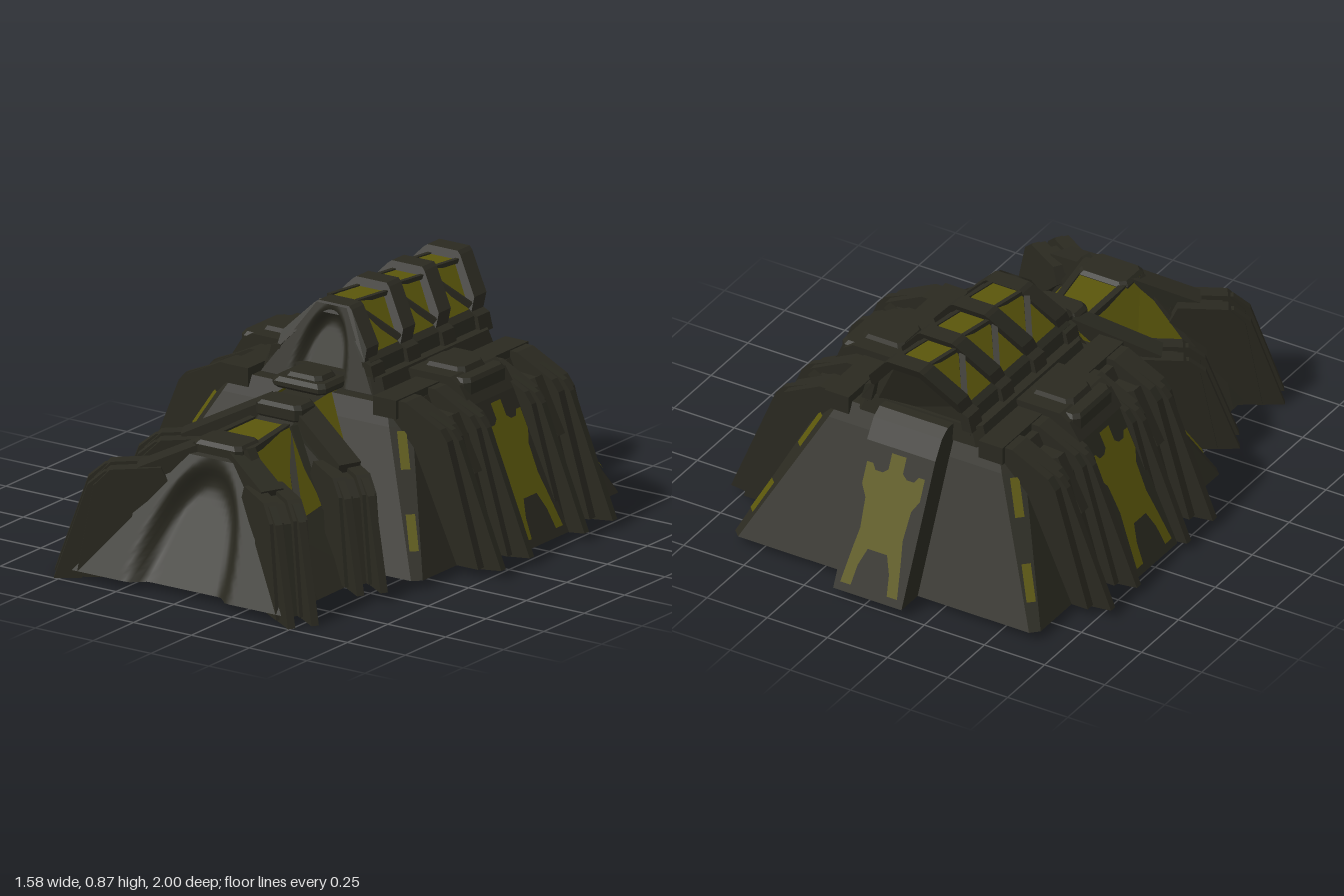
import * as THREE from 'three';

const V = (x, y, z) => new THREE.Vector3(x, y, z);
const hull = new THREE.MeshStandardMaterial({ color: 0x2a2920, side: THREE.DoubleSide });
hull.name = 'dark olive hull';
const paint = new THREE.MeshStandardMaterial({ color: 0x5a560b, side: THREE.DoubleSide });
paint.name = 'dull yellow paint';

function add(parent, name, geometry, material = hull) {
  const m = new THREE.Mesh(geometry, material);
  m.name = name;
  parent.add(m);
  return m;
}

// Faceted skin over cross-sections with equal point counts
function loft(rings, { closed = true, cap = false } = {}) {
  const p = [];
  const tri = (...t) => t.forEach((v) => p.push(v.x, v.y, v.z));
  const n = rings[0].length;
  for (let i = 0; i + 1 < rings.length; i++) {
    for (let j = 0; j < (closed ? n : n - 1); j++) {
      const k = (j + 1) % n;
      const [a, b, c, d] = [rings[i][j], rings[i][k], rings[i + 1][k], rings[i + 1][j]];
      tri(a, b, c);
      tri(a, c, d);
    }
  }
  if (cap) {
    const last = rings[rings.length - 1];
    for (let j = 1; j + 1 < n; j++) tri(last[0], last[j], last[j + 1]);
  }
  const g = new THREE.BufferGeometry();
  g.setAttribute('position', new THREE.Float32BufferAttribute(p, 3));
  g.computeVertexNormals();
  return g;
}

// Chamfered rectangle, counter-clockwise seen from above
function ring(hx, hz, c, y, cx = 0, cz = 0) {
  return [[hx, hz - c], [hx, c - hz], [hx - c, -hz], [c - hx, -hz], [-hx, c - hz], [-hx, hz - c], [c - hx, hz], [hx - c, hz]]
    .map(([x, z]) => V(cx + x, y, cz + z));
}

const outline = (pts) => new THREE.Shape(pts.map(([x, y]) => new THREE.Vector2(x, y)));
const mirrored = (pts) => [...pts, ...[...pts].reverse().map(([x, y]) => [-x, y])];

// Flat profile in x/y given thickness along z between z0 and z1
function slab(pts, z0, z1) {
  return new THREE.ExtrudeGeometry(outline(pts), { depth: z1 - z0, bevelEnabled: false }).translate(0, 0, z0);
}

// Rectangular bar from a to b
function beam(parent, name, a, b, w, h) {
  const m = add(parent, name, new THREE.BoxGeometry(w, h, a.distanceTo(b)));
  m.position.copy(a).lerp(b, 0.5);
  m.lookAt(b);
}

// Painted quad lifted slightly along a given direction
function plate(parent, name, corners, lift) {
  const q = corners.map((v) => v.clone().add(lift));
  add(parent, name, loft([[q[0], q[1]], [q[3], q[2]]], { closed: false }), paint);
}

// Tapered sloping face with a smooth arched hollow; [bottom, top] pairs
function hollow(parent, name, [w0, w1], [y0, y1], [z0, z1], archWidth, depth) {
  const geo = new THREE.PlaneGeometry(2, 1, 40, 20);
  const p = geo.attributes.position;
  for (let i = 0; i < p.count; i++) {
    const t = p.getY(i) + 0.5;
    const x = p.getX(i) * (w0 + (w1 - w0) * t);
    const arch = (x / archWidth) ** 2 + (t / 0.93) ** 2;
    const dip = depth * (1 + t) * (1 - THREE.MathUtils.smoothstep(arch, 0.55, 1.15));
    p.setXYZ(i, x, y0 + (y1 - y0) * t, z0 + (z1 - z0) * t - dip);
  }
  geo.computeVertexNormals();
  add(parent, name, geo);
}

const CZ = -0.255;

// Sloping ramp with its painted emblem, facing +z from the hall centre
function ramp(parent, name, angle) {
  const g = new THREE.Group();
  g.name = name;
  const side = [[0.745, 0.03], [0.515, 0.53], [0.47, 0.6], [0.43, 0.625], [0.25, 0.625], [0.25, 0.5], [0.4, 0.5], [0.62, 0.03]];
  add(g, 'rampBlock', slab(side, -0.142, 0.142).rotateY(-Math.PI / 2));
  const half = [[0.03, 0.515], [0.03, 0.46], [0.05, 0.445], [0.08, 0.445], [0.095, 0.465], [0.12, 0.465], [0.12, 0.39],
    [0.095, 0.35], [0.088, 0.25], [0.1, 0.18], [0.118, 0.06], [0.075, 0.06], [0.065, 0.13], [0.04, 0.19]];
  const emblem = new THREE.ShapeGeometry(outline(mirrored(half)));
  const pos = emblem.attributes.position;
  for (let i = 0; i < pos.count; i++) pos.setZ(i, 0.75 - 0.46 * (pos.getY(i) - 0.03));
  emblem.computeVertexNormals();
  add(g, 'rampEmblem', emblem, paint);
  g.position.z = CZ;
  g.rotation.y = angle;
  parent.add(g);
}

// Thick buttress with a thinner tooth along its outer edge
function buttress(parent, body, tooth, z, thick) {
  add(parent, 'buttressSlab', slab(body, z - thick / 2, z + thick / 2));
  add(parent, 'buttressTooth', slab(tooth, z - 0.014, z + 0.014));
}

function mainHall(g) {
  add(g, 'hallWalls', loft([ring(0.635, 0.635, 0.03, 0.03, 0, CZ), ring(0.42, 0.42, 0.06, 0.5, 0, CZ),
    ring(0.385, 0.385, 0.06, 0.57, 0, CZ), ring(0.2, 0.31, 0.03, 0.57, 0, CZ)]));
  add(g, 'roofDeck', loft([ring(0.27, 0.37, 0.03, 0.56, 0, -0.285), ring(0.245, 0.36, 0.03, 0.632, 0, -0.285),
    ring(0.2, 0.33, 0.03, 0.632, 0, -0.285)]));
  ['backRamp', 'leftRamp', 'rightRamp'].forEach((name, i) => ramp(g, name, [Math.PI, Math.PI / 2, -Math.PI / 2][i]));
  for (const s of [1, -1]) {
    // Roof hatches beside the spine
    add(g, 'roofHatch', loft([ring(0.13, 0.125, 0.02, 0.55, s * 0.365, CZ), ring(0.13, 0.125, 0.02, 0.605, s * 0.365, CZ),
      ring(0.12, 0.115, 0.02, 0.62, s * 0.365, CZ)], { cap: true }));
    add(g, 'hatchLid', loft([ring(0.095, 0.085, 0.02, 0.61, s * 0.35, CZ), ring(0.08, 0.07, 0.02, 0.64, s * 0.35, CZ)], { cap: true }));
    // Painted dashes down the corners
    for (const f of [1, -1]) {
      for (const [t0, t1] of [[0.19, 0.43], [0.72, 0.97]]) {
        const at = (t, w) => V(s * (0.62 - 0.23 * t + w), 0.03 + 0.47 * t, CZ + f * (0.62 - 0.23 * t - w));
        plate(g, 'cornerDash', [at(t0, -0.012), at(t0, 0.012), at(t1, 0.012), at(t1, -0.012)], V(s * 0.005, 0.003, f * 0.005));
      }
    }
  }
}

function sideButtresses(root) {
  const body = [[0.3, 0.5], [0.3, 0.595], [0.4, 0.595], [0.46, 0.565], [0.55, 0.52], [0.58, 0.48], [0.715, 0.03], [0.6, 0.03]];
  const tooth = [[0.4, 0.5], [0.47, 0.56], [0.575, 0.515], [0.605, 0.48], [0.79, 0.03], [0.7, 0.02]];
  const infill = [[0.35, 0.5], [0.35, 0.53], [0.5, 0.52], [0.545, 0.46], [0.67, 0.03], [0.6, 0.03]];
  for (const s of [1, -1]) {
    const side = new THREE.Group();
    side.name = s > 0 ? 'leftButtresses' : 'rightButtresses';
    for (const f of [1, -1]) {
      for (const [d, thick] of [[0.17, 0.085], [0.345, 0.1]]) buttress(side, body, tooth, f * d, thick);
      add(side, 'buttressInfill', slab(infill, f * 0.257 - 0.05, f * 0.257 + 0.05));
      beam(side, 'ventPipe', V(0.5, 0.53, f * 0.257), V(0.6, 0.33, f * 0.257), 0.045, 0.045);
      add(side, 'buttressShoulder', new THREE.BoxGeometry(0.1, 0.07, 0.28).translate(0.32, 0.565, f * 0.27));
    }
    side.position.z = CZ;
    side.rotation.y = s > 0 ? 0 : Math.PI;
    root.add(side);
  }
}

// Raked hollow ridge with painted glazing between arched ribs
function spine(g) {
  const k = (z, y) => z - 0.5 * Math.max(0, y - 0.69);
  const lean = (geo) => {
    const p = geo.attributes.position;
    for (let i = 0; i < p.count; i++) p.setZ(i, k(p.getZ(i), p.getY(i)));
    geo.computeVertexNormals();
    return geo;
  };
  const shell = (pts, z0, z1) => lean(loft([z0, z1].map((z) => pts.map(([x, y]) => V(x, y, z))), { closed: false }));
  for (const s of [1, -1]) add(g, 'spineBase', shell([[s * 0.22, 0.56], [s * 0.2, 0.68], [s * 0.178, 0.7]], -0.65, 0.05));
  const glazing = mirrored([[0.178, 0.695], [0.058, 0.845]]);
  add(g, 'spineGlazing', shell(glazing, -0.64, 0.04), paint);
  add(g, 'spineBackWall', lean(slab(mirrored([[0.2, 0.57], [0.178, 0.7], [0.058, 0.84]]), -0.63, -0.62)));
  const rib = [[0.23, 0.62], [0.215, 0.68], [0.188, 0.692], [0.184, 0.74], [0.08, 0.862], [0.065, 0.873]];
  const inner = [[0.19, 0.62], [0.175, 0.69], [0.055, 0.835]];
  const starts = [-0.005, -0.225, -0.445, -0.665];
  starts.forEach((z, i) => {
    const arch = [...mirrored(rib), ...mirrored(inner).reverse()].map(([x, y]) => [x, i ? y : y - 0.09 * (y - 0.6)]);
    add(g, 'spineRib', lean(slab(arch, z, z + 0.075)));
    if (!i) return;
    for (const s of [1, -1]) {
      beam(g, 'spineStrut', V(s * 0.08, 0.82, k(starts[i - 1], 0.82)), V(s * 0.172, 0.71, k(z + 0.075, 0.71)), 0.022, 0.022);
      beam(g, 'ridgeRail', V(s * 0.06, 0.842, k(starts[i - 1], 0.842)), V(s * 0.06, 0.842, k(z + 0.07, 0.842)), 0.016, 0.016);
    }
  });
  hollow(g, 'spineNose', [0.24, 0.065], [0.58, 0.845], [0.1, 0.005], 0.11, 0.03);
}

function frontHall(g) {
  // Rows of half sections: foot, knee and ridge
  const rows = [
    [[0.36, 0.03, 0.1], [0.3, 0.27, 0.12], [0.08, 0.57, 0.1]],
    [[0.41, 0.03, 0.33], [0.32, 0.27, 0.33], [0.08, 0.55, 0.27]],
    [[0.45, 0.03, 0.42], [0.24, 0.25, 0.42], [0.075, 0.5, 0.37]],
    [[0.455, 0.03, 0.74], [0.295, 0.25, 0.72], [0.1, 0.5, 0.68]],
    [[0.455, 0.03, 0.965], [0.31, 0.25, 0.86], [0.13, 0.47, 0.74]],
  ];
  const point = (r, c, s) => V(s * rows[r][c][0], rows[r][c][1], rows[r][c][2]);
  add(g, 'frontHallRidge', loft(rows.map((_, r) => [point(r, 2, 1), point(r, 2, -1)]), { closed: false }));
  hollow(g, 'frontHollow', [0.455, 0.13], [0.03, 0.47], [0.965, 0.74], 0.2, 0.047);
  for (const s of [1, -1]) {
    add(g, 'frontHallSide', loft(rows.map((_, r) => [0, 1, 2].map((c) => point(r, c, s))), { closed: false }));
    for (const r of [0, 2]) {
      plate(g, 'roofPanel', [point(r, 1, s), point(r, 2, s), point(r + 1, 2, s), point(r + 1, 1, s)], V(s * 0.006, 0.006, 0));
    }
    beam(g, 'panelFrame', point(2, 1, s), point(2, 2, s), 0.03, 0.03);
    beam(g, 'panelFrame', point(3, 1, s), point(3, 2, s), 0.04, 0.04);
    beam(g, 'panelStrut', point(2, 2, s), point(3, 1, s).lerp(point(2, 1, s), 0.35), 0.025, 0.025);
    beam(g, 'ridgeRail', point(2, 2, s), point(3, 2, s), 0.025, 0.025);
    beam(g, 'roofArm', V(s * 0.06, 0.485, 0.67), V(s * 0.28, 0.39, 0.79), 0.09, 0.06);
    beam(g, 'roofArm', V(s * 0.06, 0.535, 0.27), V(s * 0.35, 0.4, 0.41), 0.09, 0.06);
  }
  plate(g, 'ridgePanel', [point(2, 2, 1), point(3, 2, 1), point(3, 2, -1), point(2, 2, -1)], V(0, 0.005, 0));

  // Caps along the ridge
  for (const [name, hx, hz, y0, y1, z] of [['frontCap', 0.105, 0.075, 0.46, 0.522, 0.65],
    ['middleCap', 0.1, 0.06, 0.51, 0.572, 0.29], ['rearCap', 0.115, 0.09, 0.58, 0.62, 0.135], ['rearCapLid', 0.08, 0.06, 0.61, 0.637, 0.135]]) {
    add(g, name, loft([ring(hx * 0.9, hz * 0.9, 0.02, y0, 0, z), ring(hx, hz, 0.02, y0 + 0.01, 0, z), ring(hx, hz, 0.02, y1 - 0.015, 0, z),
      ring(hx * 0.88, hz * 0.85, 0.02, y1, 0, z)], { cap: true }));
  }

  // Diagonal buttress pairs, measured inward from their outer tips
  const body = [[-0.07, 0.01], [-0.13, 0.35], [-0.19, 0.41], [-0.37, 0.42], [-0.4, 0.36], [-0.27, 0.25], [-0.24, 0.01]];
  const tooth = [[0.01, 0], [-0.11, 0.35], [-0.17, 0.4], [-0.25, 0.4], [-0.09, 0]];
  for (const s of [1, -1]) {
    for (const [x, z, foot] of [[0.53, 0.945, 0], [0.57, 0.575, 0.03]]) {
      const raise = (pts) => pts.map(([a, b]) => [a, foot + b * (1 - foot / 0.42)]);
      const pair = new THREE.Group();
      pair.name = 'diagonalButtress';
      for (const o of [-0.045, 0.045]) buttress(pair, raise(body), raise(tooth), o, 0.055);
      add(pair, 'buttressInfill', slab(raise(body).map(([a, b]) => [a - 0.02, b * 0.96]), -0.03, 0.03));
      pair.position.set(s * x, 0, z);
      pair.rotation.y = s > 0 ? -0.576 : Math.PI + 0.576;
      g.add(pair);
    }
  }
}

export function createModel() {
  const root = new THREE.Group();
  root.name = 'bunker';
  const body = new THREE.Group();
  body.name = 'bunkerBody';
  body.position.x = -0.013;
  root.add(body);
  [mainHall, spine, frontHall].forEach((build) => build(body));
  sideButtresses(root);
  return root;
}
